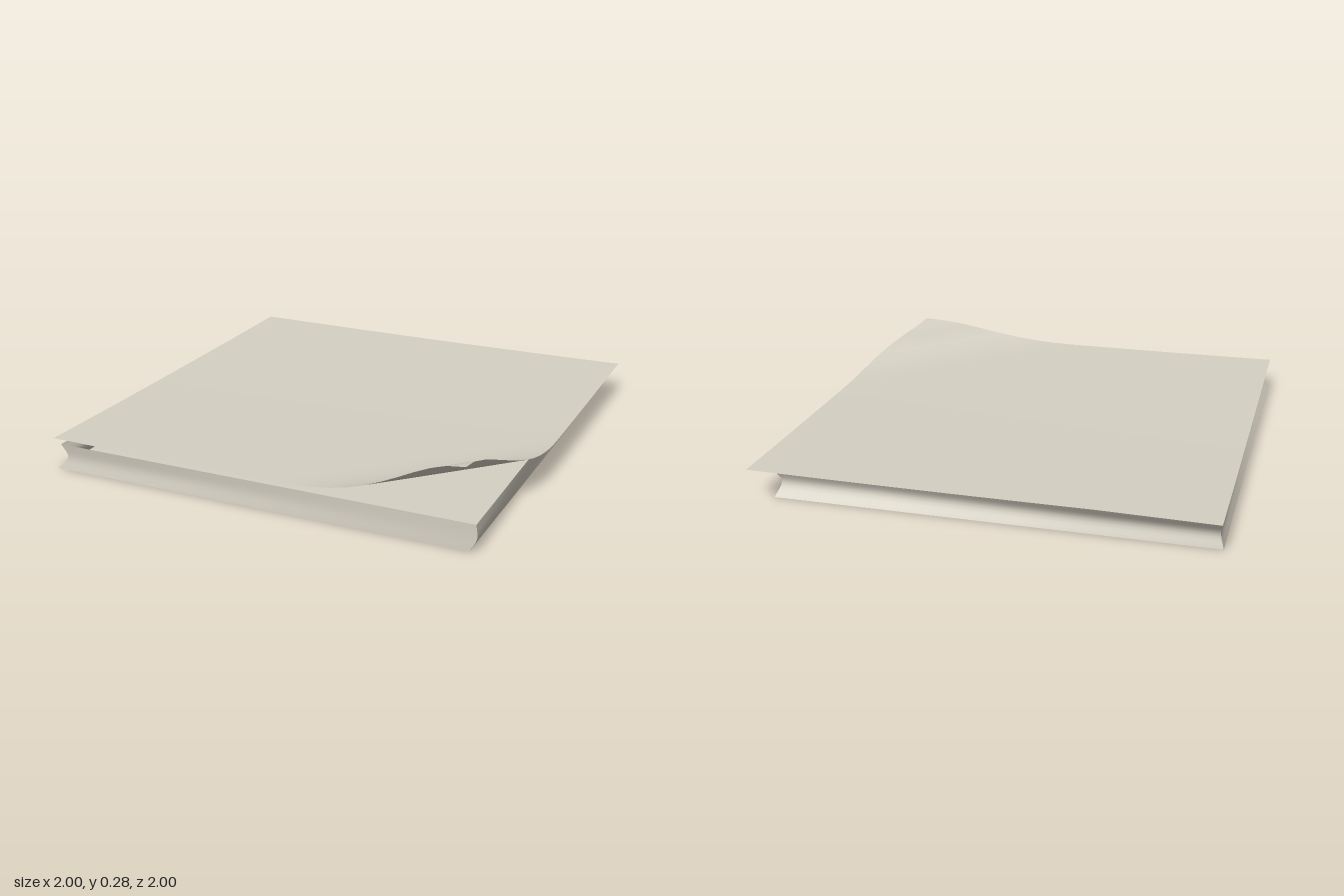
import * as THREE from 'three';

const paper = new THREE.MeshStandardMaterial({ color: 0xd5d0c3, side: THREE.DoubleSide });
paper.name = 'warm grey paper';

// Each corner of the pad: plan position [x, z] at the bottom, middle and top
const HEIGHT = 0.118;
const corners = [
  [[0.915, 0.985], [0.945, 0.985], [0.94, 0.985]],
  [[0.915, -0.93], [0.895, -0.89], [0.92, -0.91]],
  [[-1, -0.93], [-0.985, -0.92], [-0.995, -0.96]],
  [[-1, 0.985], [-0.95, 0.975], [-0.975, 0.985]],
].map((pts) => new THREE.CatmullRomCurve3(
  pts.map(([x, z], i) => new THREE.Vector3(x, (HEIGHT * i) / 2, z))));

// A smooth wall ruled between two corner curves
function ruledWall(a, b, rows = 8, cols = 4) {
  const pos = [], index = [];
  for (let r = 0; r <= rows; r++) {
    const p = a.getPoint(r / rows), q = b.getPoint(r / rows);
    for (let c = 0; c <= cols; c++) pos.push(...p.clone().lerp(q, c / cols).toArray());
  }
  for (let r = 0; r < rows; r++) {
    for (let c = 0; c < cols; c++) {
      const i = r * (cols + 1) + c, j = i + cols + 1;
      index.push(i, i + 1, j + 1, i, j + 1, j);
    }
  }
  const g = new THREE.BufferGeometry();
  g.setAttribute('position', new THREE.Float32BufferAttribute(pos, 3));
  g.setIndex(index);
  g.computeVertexNormals();
  return g;
}

// Thin top sheet: sags slightly and curls up and inward at the front left corner
function curledSheet() {
  const g = new THREE.PlaneGeometry(2, 2, 24, 24).rotateX(-Math.PI / 2);
  const p = g.attributes.position;
  for (let i = 0; i < p.count; i++) {
    const x = p.getX(i), z = p.getZ(i);
    const t = Math.max(0, ((x + z) / 2 - 0.52) / 0.48) ** 1.3;
    const curl = t * t * (3 - 2 * t);
    const shift = 0.16 * curl ** 1.5;
    const y = 0.148 - 0.005 * (2 - x * x - z * z) + 0.132 * curl;
    p.setXYZ(i, x - shift, y, z - shift);
  }
  g.computeVertexNormals();
  return g;
}

export function createModel() {
  const model = new THREE.Group();
  model.name = 'paperPad';
  const add = (name, geometry, parent = model) => {
    const mesh = new THREE.Mesh(geometry, paper);
    mesh.name = name;
    parent.add(mesh);
  };

  // Shallow pad: four bowed walls and a flat base
  const pad = new THREE.Group();
  pad.name = 'pad';
  model.add(pad);
  ['leftWall', 'backWall', 'rightWall', 'frontWall'].forEach((name, i) =>
    add(name, ruledWall(corners[i], corners[(i + 1) % 4]), pad));
  const outline = corners.map((c) => c.getPoint(0)).map((v) => new THREE.Vector2(v.x, v.z));
  add('base', new THREE.ShapeGeometry(new THREE.Shape(outline)).rotateX(Math.PI / 2), pad);

  add('topSheet', curledSheet());
  return model;
}
